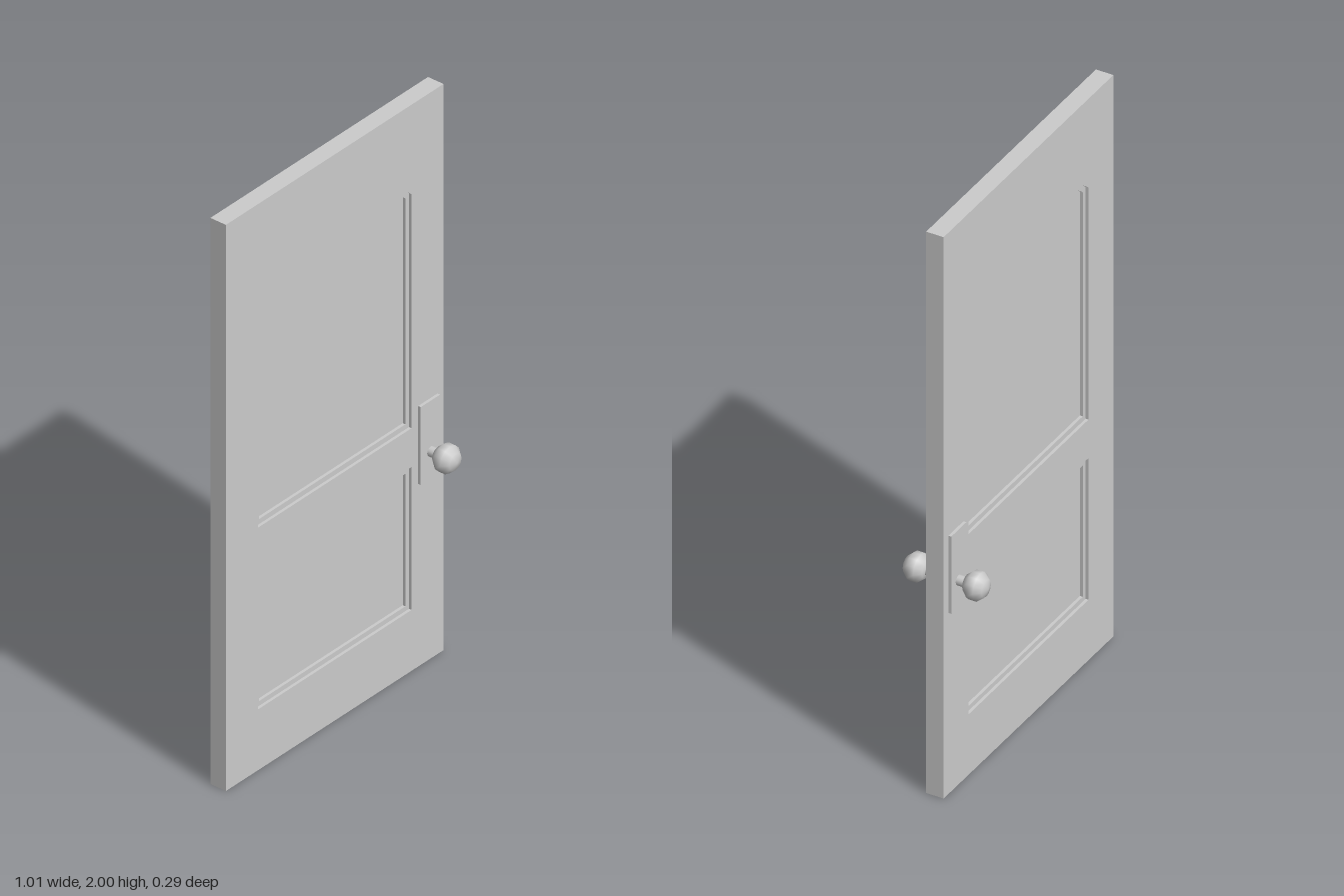
import * as THREE from 'three';

const W = 1.01, H = 2, STEP = 0.01;
const material = new THREE.MeshStandardMaterial({ color: 0xcccccc });

function part(name, geometry, parent) {
  const mesh = new THREE.Mesh(geometry, material);
  mesh.name = name;
  parent.add(mesh);
  return mesh;
}

// Panel outline: straight sides, with an arched top when apex is above the shoulder
function panelOutline(PathType, half, bottom, shoulder, apex = shoulder) {
  const p = new PathType();
  p.moveTo(-half, bottom);
  p.lineTo(half, bottom);
  p.lineTo(half, shoulder);
  const rise = apex - shoulder;
  if (rise > 0) {
    const r = (half * half + rise * rise) / (2 * rise);
    const a = Math.asin(half / r);
    p.absarc(0, apex - r, r, Math.PI / 2 - a, Math.PI / 2 + a, false);
  } else {
    p.lineTo(-half, shoulder);
  }
  p.closePath();
  return p;
}

// Door-sized sheet, one step thick, with the panel openings cut out
function frameLayer(openings) {
  const shape = panelOutline(THREE.Shape, W / 2, 0, H);
  for (const o of openings) shape.holes.push(panelOutline(THREE.Path, ...o));
  return new THREE.ExtrudeGeometry(shape, { depth: STEP, bevelEnabled: false, curveSegments: 16 });
}

export function createModel() {
  const door = new THREE.Group();
  door.name = 'door';

  // Core sheet forms the floor of the recessed panels
  part('panelCore', new THREE.BoxGeometry(W, H, 2 * STEP), door).position.y = H / 2;

  const innerLayer = frameLayer([[0.34, 0.232, 0.7], [0.34, 0.875, 1.673, 1.802]]);
  const outerLayer = frameLayer([[0.357, 0.215, 0.72], [0.357, 0.857, 1.683, 1.82]]);

  // Knob: flattened low-sided ball with its pole along z
  const knobGeo = new THREE.SphereGeometry(1, 12, 5).rotateX(Math.PI / 2).scale(0.049, 0.049, 0.041);
  const stemGeo = new THREE.CylinderGeometry(0.017, 0.017, 0.05, 12).rotateX(Math.PI / 2);
  const plateGeo = new THREE.BoxGeometry(0.09, 0.275, 0.02);

  for (const side of [1, -1]) {
    const face = new THREE.Group();
    face.name = side > 0 ? 'frontFace' : 'backFace';
    face.rotation.y = side > 0 ? 0 : Math.PI;
    door.add(face);

    // Two stepped frames
    part('innerFrame', innerLayer, face).position.z = STEP;
    part('outerFrame', outerLayer, face).position.z = 2 * STEP;

    // Handle hardware
    const handle = new THREE.Group();
    handle.name = 'handle';
    handle.position.x = side * 0.434;
    face.add(handle);
    part('handlePlate', plateGeo, handle).position.set(-side * 0.002, 0.783, 0.03);
    part('handleStem', stemGeo, handle).position.set(0, 0.742, 0.058);
    part('knob', knobGeo, handle).position.set(0, 0.742, 0.102);
  }
  return door;
}
